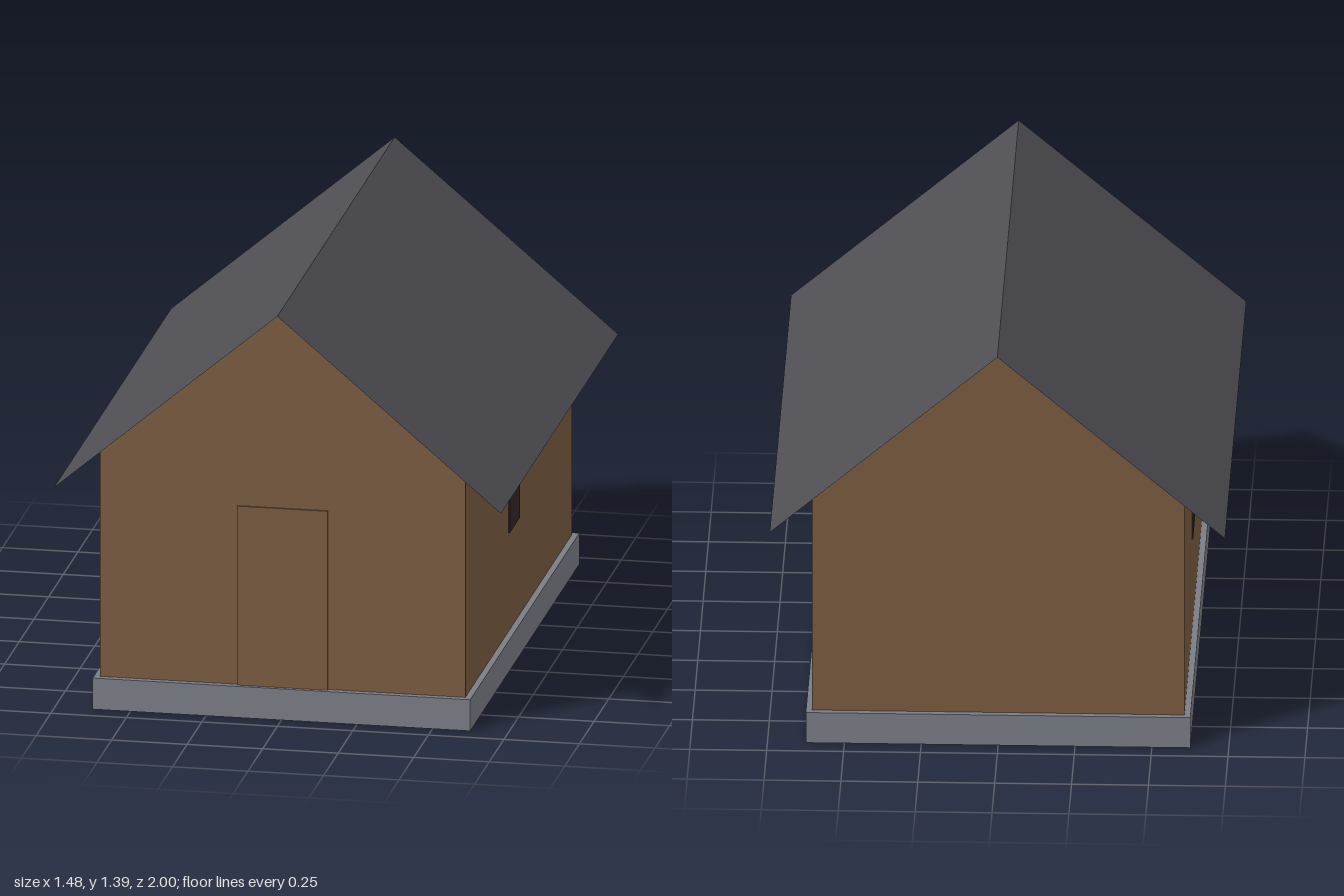
import * as THREE from 'three';

const material = (name, color, side = THREE.FrontSide) => {
  const m = new THREE.MeshStandardMaterial({ color, side });
  m.name = name;
  return m;
};

export function createModel() {
  const house = new THREE.Group();
  house.name = 'house';
  const wood = material('brown wood', 0x7a5b40);
  const stone = material('grey stone', 0x7a7d85, THREE.DoubleSide);
  const slate = material('dark slate', 0x4e4e53, THREE.DoubleSide);
  const glass = material('dark glass', 0x332727);

  const add = (name, geometry, mat, x = 0, y = 0, z = 0) => {
    const mesh = new THREE.Mesh(geometry, mat);
    mesh.name = name;
    mesh.position.set(x, y, z);
    house.add(mesh);
    return mesh;
  };

  // Foundation: a hollow slab, open underneath (bottom face left out)
  const base = new THREE.BoxGeometry(1.25, 0.106, 1.86);
  const index = Array.from(base.index.array);
  index.splice(18, 6);
  base.setIndex(index);
  base.clearGroups();
  add('foundation', base, stone, 0, 0.053, 0);

  // Walls with gabled ends
  const gable = new THREE.Shape([
    new THREE.Vector2(-0.605, 0.107),
    new THREE.Vector2(0.605, 0.107),
    new THREE.Vector2(0.605, 0.88),
    new THREE.Vector2(0, 1.39),
    new THREE.Vector2(-0.605, 0.88),
  ]);
  const walls = new THREE.ExtrudeGeometry(gable, { depth: 1.82, bevelEnabled: false });
  add('walls', walls, wood, 0, 0, -0.91);

  // Door, running down behind the foundation's front
  add('door', new THREE.BoxGeometry(0.3, 0.7, 0.008), wood, 0, 0.365, 0.912);

  // Roof: two thin sheets meeting at the ridge
  const run = 0.74, rise = 0.627, ridge = 1.395;
  for (const side of [1, -1]) {
    const sheet = new THREE.PlaneGeometry(Math.hypot(run, rise), 2);
    sheet.rotateX(-Math.PI / 2);
    sheet.rotateZ(-side * Math.atan2(rise, run));
    add(side > 0 ? 'leftRoof' : 'rightRoof', sheet, slate, side * run / 2, ridge - rise / 2, 0);
  }

  // Side windows, each set off-centre
  for (const [name, side, z] of [['leftWindow', 1, 0.092], ['rightWindow', -1, -0.148]]) {
    add(name, new THREE.BoxGeometry(0.008, 0.212, 0.172), glass, side * 0.606, 0.549, z);
  }
  return house;
}
